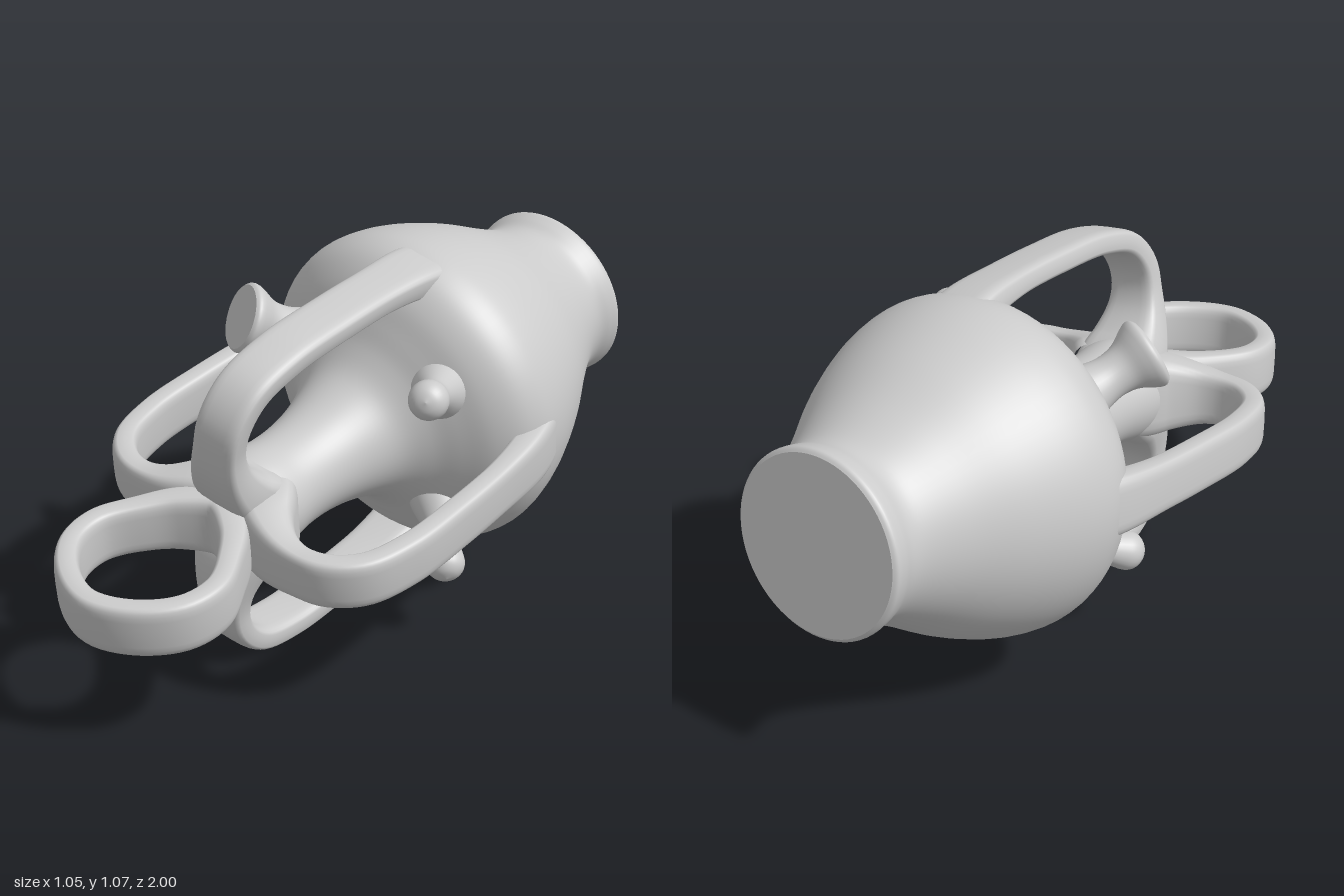
import * as THREE from 'three';

const material = new THREE.MeshStandardMaterial({ color: 0xcccccc });

function mesh(name, geometry) {
  const m = new THREE.Mesh(geometry, material);
  m.name = name;
  return m;
}

// Smooth lathe through [radius, height] points
function turned(points, segments, steps) {
  const curve = new THREE.SplineCurve(points.map(([r, h]) => new THREE.Vector2(r, h)));
  const profile = curve.getPoints(steps).map(p => new THREE.Vector2(Math.max(p.x, 0), p.y));
  return new THREE.LatheGeometry(profile, segments);
}

// Flat rounded strap swept along [z, y] points; its width runs along x.
// size(t) gives [half thickness, half width].
function strap(points, closed, size) {
  const curve = new THREE.CatmullRomCurve3(points.map(([z, y]) => new THREE.Vector3(0, y, z)), closed);
  const rows = 72, sides = 24, pos = [], index = [];
  const count = closed ? rows : rows + 1;
  const squared = v => Math.sign(v) * Math.pow(Math.abs(v), 0.5);
  for (let i = 0; i < count; i++) {
    const t = i / rows;
    const p = curve.getPointAt(t), d = curve.getTangentAt(t);
    const [thick, wide] = size(t);
    for (let j = 0; j < sides; j++) {
      const a = (j / sides) * Math.PI * 2;
      const n = thick * squared(Math.cos(a));
      pos.push(wide * squared(Math.sin(a)), p.y - d.z * n, p.z + d.y * n);
    }
  }
  for (let i = 0; i < rows; i++) {
    const k = (i + 1) % count;
    for (let j = 0; j < sides; j++) {
      const m = (j + 1) % sides;
      const a = i * sides + j, b = i * sides + m, c = k * sides + m, e = k * sides + j;
      index.push(a, b, c, a, c, e);
    }
  }
  const g = new THREE.BufferGeometry();
  g.setAttribute('position', new THREE.Float32BufferAttribute(pos, 3));
  g.setIndex(index);
  g.computeVertexNormals();
  return g;
}

// Stand a lathe part on the line from one point to another
function aim(part, from, to) {
  const a = new THREE.Vector3(...from);
  const dir = new THREE.Vector3(...to).sub(a).normalize();
  part.position.copy(a);
  part.quaternion.setFromUnitVectors(new THREE.Vector3(0, 1, 0), dir);
  return part;
}

export function createModel() {
  const model = new THREE.Group();
  model.name = 'handledVessel';

  // Tilted frame whose z axis is the axis of the vessel
  const vessel = new THREE.Group();
  vessel.name = 'vessel';
  vessel.position.set(-0.025, 0.6, -0.34);
  vessel.rotation.set(0.155, 0.035, -0.09, 'YXZ');
  model.add(vessel);

  // Body from mouth to belly, then narrowing to the front stem
  const body = mesh('body', turned([
    [0.25, -0.625], [0.263, -0.612], [0.26, -0.58], [0.252, -0.535], [0.266, -0.48],
    [0.318, -0.38], [0.394, -0.25], [0.448, -0.13], [0.474, -0.04], [0.479, 0.03],
    [0.458, 0.095], [0.405, 0.155], [0.33, 0.203], [0.26, 0.248], [0.2, 0.31],
    [0.163, 0.4], [0.143, 0.5], [0.14, 0.6], [0.152, 0.7], [0.145, 0.78],
    [0.1, 0.84], [0, 0.865],
  ], 72, 110));
  body.rotation.x = Math.PI / 2;
  vessel.add(body);

  // Flat closed mouth
  const mouth = mesh('mouth', new THREE.CircleGeometry(0.251, 72));
  mouth.rotation.y = Math.PI;
  mouth.position.z = -0.625;
  vessel.add(mouth);

  // Four strap handles around the body, thickening into belly and stem
  const handle = strap([
    [-0.1, 0.36], [-0.02, 0.408], [0.08, 0.443], [0.22, 0.464], [0.42, 0.474], [0.62, 0.471],
    [0.76, 0.432], [0.832, 0.345], [0.838, 0.23], [0.795, 0.13], [0.72, 0.05],
  ], false, t => {
    const end = THREE.MathUtils.smoothstep(t, 0.78, 1);
    const start = 1 - THREE.MathUtils.smoothstep(t, 0.05, 0.3);
    return [0.036 + 0.05 * end + 0.014 * start, 0.075 + 0.05 * end + 0.015 * start];
  });
  const handles = [
    // name, extra roll, outward shift
    ['topHandle', -0.11, 0], ['leftHandle', 0, 0.018], ['bottomHandle', 0, 0], ['rightHandle', 0, 0],
  ];
  handles.forEach(([name, roll, shift], i) => {
    const h = mesh(name, handle);
    h.rotation.z = roll - i * Math.PI / 2;
    h.translateY(shift);
    vessel.add(h);
  });

  // Pear-shaped ring at the front
  const half = [[0.88, 0.1], [0.96, 0.165], [1.07, 0.222], [1.18, 0.208], [1.275, 0.12]];
  const ringPath = [
    [0.825, 0], ...half, [1.318, 0],
    ...half.map(([z, y]) => [z, -y]).reverse(),
  ];
  const ring = mesh('frontRing', strap(ringPath, true, t => {
    const root = 1 - THREE.MathUtils.smoothstep(Math.min(t, 1 - t), 0, 0.2);
    return [0.035 + 0.015 * root, 0.08 + 0.015 * root];
  }));
  ring.rotation.z = Math.PI / 2;
  ring.position.x = -0.005;
  vessel.add(ring);

  // Flared spout with a flat end
  const spout = new THREE.Group();
  spout.name = 'spout';
  const spoutWall = mesh('spoutWall', turned([
    [0.125, -0.06], [0.098, 0.01], [0.074, 0.07], [0.062, 0.125], [0.068, 0.175],
    [0.09, 0.215], [0.1, 0.235], [0.101, 0.25], [0.092, 0.26],
  ], 32, 32));
  const spoutEnd = mesh('spoutEnd', new THREE.CircleGeometry(0.093, 32));
  spoutEnd.rotation.x = -Math.PI / 2;
  spoutEnd.position.y = 0.26;
  spout.add(spoutWall, spoutEnd);
  model.add(aim(spout, [-0.2, 0.765, -0.115], [-0.3, 0.862, 0.09]));

  // Ball-ended knobs; the neck is stretched to the length needed
  const knobs = [
    ['upperLeftKnob', [0.235, 0.74, -0.14], [0.34, 0.8, 0.025]],
    ['lowerLeftKnob', [0.19, 0.345, -0.2], [0.31, 0.24, -0.09]],
    ['lowerRightKnob', [-0.22, 0.345, -0.18], [-0.318, 0.268, -0.01]],
  ];
  for (const [name, from, to] of knobs) {
    const len = new THREE.Vector3(...from).distanceTo(new THREE.Vector3(...to));
    model.add(aim(mesh(name, turned([
      [0.105, -0.06], [0.08, len * 0.1], [0.056, len * 0.4], [0.045, len * 0.65],
      [0.051, len * 0.85], [0.056, len], [0.05, len + 0.026], [0.03, len + 0.046], [0, len + 0.055],
    ], 28, 36)), from, to));
  }

  return model;
}
